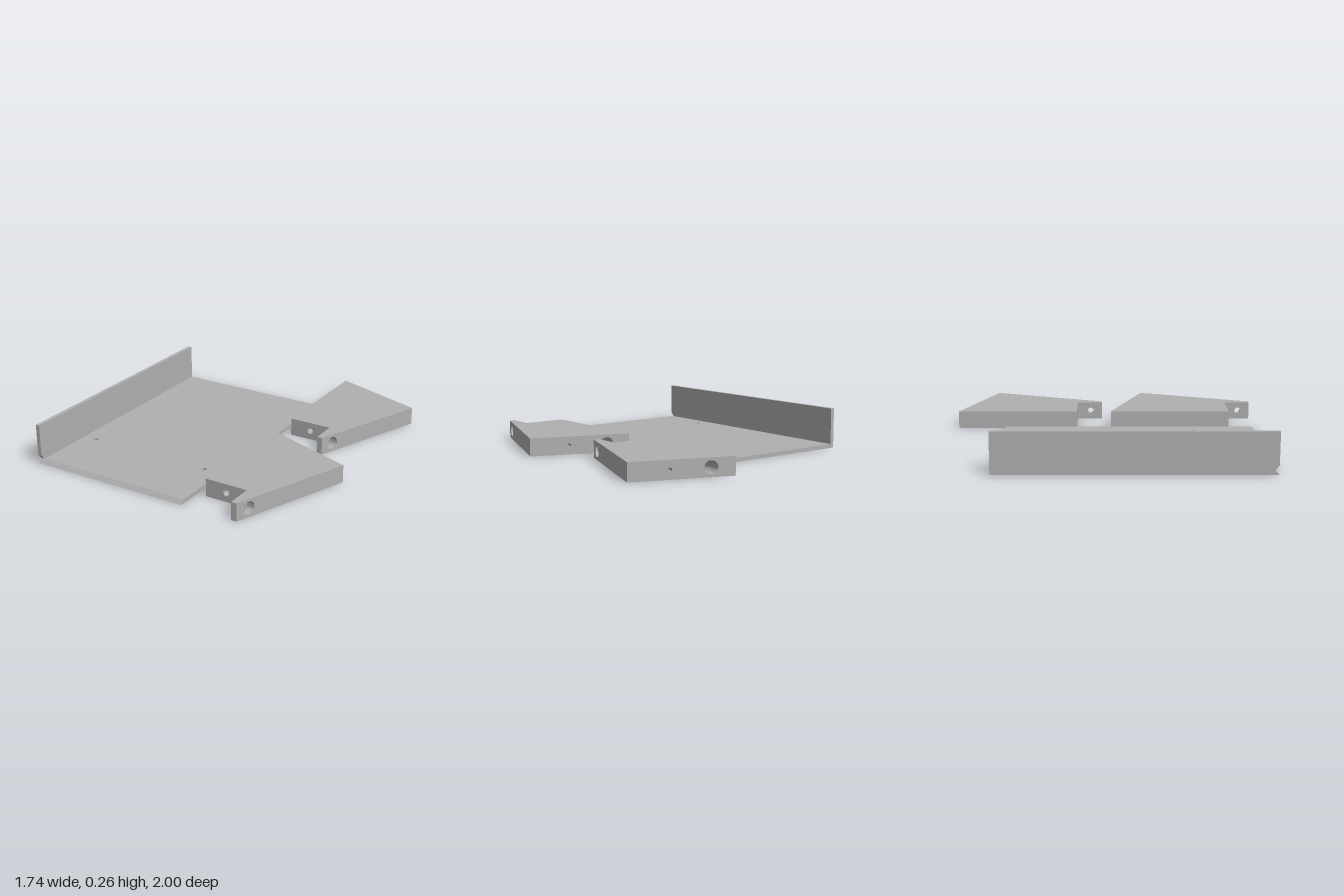
import * as THREE from 'three';
import { toCreasedNormals } from 'three/addons/utils/BufferGeometryUtils.js';

const grey = new THREE.MeshStandardMaterial({ color: 0xb0b0b0, side: THREE.DoubleSide });
grey.name = 'plain grey';

const H = 0.115;   // bracket thickness
const MID = 0.058; // height of the bore axes
const T = 0.026;   // sheet thickness

function add(parent, geometry, name) {
  const mesh = new THREE.Mesh(geometry, grey);
  mesh.name = name;
  parent.add(mesh);
  return mesh;
}

function polygon(points) {
  return new THREE.Shape(points.map(([x, y]) => new THREE.Vector2(x, y)));
}

function punch(shape, x, y, rx, ry) {
  const hole = new THREE.Path();
  hole.absellipse(x, y, rx, ry, 0, Math.PI * 2, true);
  shape.holes.push(hole);
}

// Move the vertices of a geometry by a rule
function reshape(geometry, rule) {
  const p = geometry.attributes.position;
  const v = new THREE.Vector3();
  for (let i = 0; i < p.count; i++) {
    rule(v.fromBufferAttribute(p, i));
    p.setXYZ(i, v.x, v.y, v.z);
  }
  geometry.computeVertexNormals();
  return geometry;
}

// Lining of a round hole running inward along local z, its mouth cut on a slope
function bore(profile, slope) {
  const g = new THREE.LatheGeometry(profile.map(([r, d]) => new THREE.Vector2(r, d)), 32);
  g.rotateX(Math.PI / 2);
  reshape(g, v => { if (v.z < 1e-4) v.z = slope * v.x; });
  return toCreasedNormals(g, 0.7);
}

// Base sheet with two screw holes and a front edge mitred back at the top
function makeBase() {
  const shape = polygon([[-0.87, -0.68], [0.205, -0.68], [0.205, 1], [-0.87, 1]]);
  for (const x of [-0.755, 0.085]) punch(shape, x, 0.578, 0.018, 0.018);
  const g = new THREE.ExtrudeGeometry(shape, { depth: T, bevelEnabled: false, curveSegments: 24 });
  g.rotateX(Math.PI / 2).translate(0, T, 0);
  return reshape(g, v => { if (v.y > T / 2 && v.z > 0.99) v.z = 1 - T; });
}

// Upright side sheet, its lower front corner mitred to meet the base
function makeSide() {
  const shape = polygon([[-0.68, T], [1 - T, T], [1, 2 * T + 0.005], [1, 0.26], [-0.68, 0.26]]);
  const g = new THREE.ExtrudeGeometry(shape, { depth: T, bevelEnabled: false });
  return g.rotateY(-Math.PI / 2).translate(-0.87 + T, 0, 0);
}

// Angled bracket: outline in x and z, each edge listing its holes [fraction, rx, ry]
function makeBracket() {
  const bracket = new THREE.Group();
  const outline = [[0.265, -0.2], [0.545, -0.2], [0.545, -0.03], [0.58, -0.03], [0.87, -0.78], [0.265, -1]];
  const holes = {
    0: [[0.5, 0.02, 0.02]],
    1: [[0.53, 0.02, 0.02]],
    3: [[0.107, 0.0429, 0.04]],
    4: [[0.388, 0.013, 0.013], [0.769, 0.0426, 0.04]],
  };

  // Top and bottom faces
  for (const [y, name] of [[0, 'bracketBottom'], [H, 'bracketTop']]) {
    const cap = new THREE.ShapeGeometry(polygon(outline));
    cap.rotateX(y ? -Math.PI / 2 : Math.PI / 2);
    if (y) {
      cap.dispose();
      const top = new THREE.ShapeGeometry(polygon(outline.map(([x, z]) => [x, -z])));
      add(bracket, top.rotateX(-Math.PI / 2).translate(0, H, 0), name);
    } else add(bracket, cap, name);
  }

  // Edge faces with their hole mouths
  outline.forEach(([x, z], i) => {
    const [x2, z2] = outline[(i + 1) % outline.length];
    const length = Math.hypot(x2 - x, z2 - z);
    const shape = polygon([[0, 0], [length, 0], [length, H], [0, H]]);
    for (const [t, rx, ry] of holes[i] || []) punch(shape, t * length, MID, rx, ry);
    const face = add(bracket, new THREE.ShapeGeometry(shape, 32), 'bracketEdge');
    face.position.set(x, 0, z);
    face.rotation.y = -Math.atan2(z2 - z, x2 - x);
  });

  // Counterbored bolt holes and the blind pilot hole
  const bolt = add(bracket, bore([[0.04, 0], [0.04, 0.4], [0.02, 0.4], [0.02, 0.749]], 0.364), 'longBoltHole');
  bolt.position.set(0.405, MID, -0.949);
  const tab = add(bracket, bore([[0.04, 0], [0.04, 0.035], [0.02, 0.035], [0.02, 0.066]], 0.387), 'tabBoltHole');
  tab.position.set(0.611, MID, -0.11);
  tab.rotation.y = -Math.PI / 2;
  const pilot = add(bracket, bore([[0.013, 0], [0.013, 0.2], [0, 0.2]], 0), 'pilotHole');
  pilot.position.set(0.635, MID, -0.865);
  pilot.rotation.y = -Math.asin(0.342);
  return bracket;
}

export function createModel() {
  const model = new THREE.Group();
  model.name = 'trayAndBrackets';
  add(model, makeBase(), 'baseSheet');
  add(model, makeSide(), 'sideSheet');
  [0, 1.03].forEach((z, i) => {
    const bracket = makeBracket();
    bracket.name = i ? 'frontBracket' : 'backBracket';
    bracket.position.z = z;
    model.add(bracket);
  });
  return model;
}
